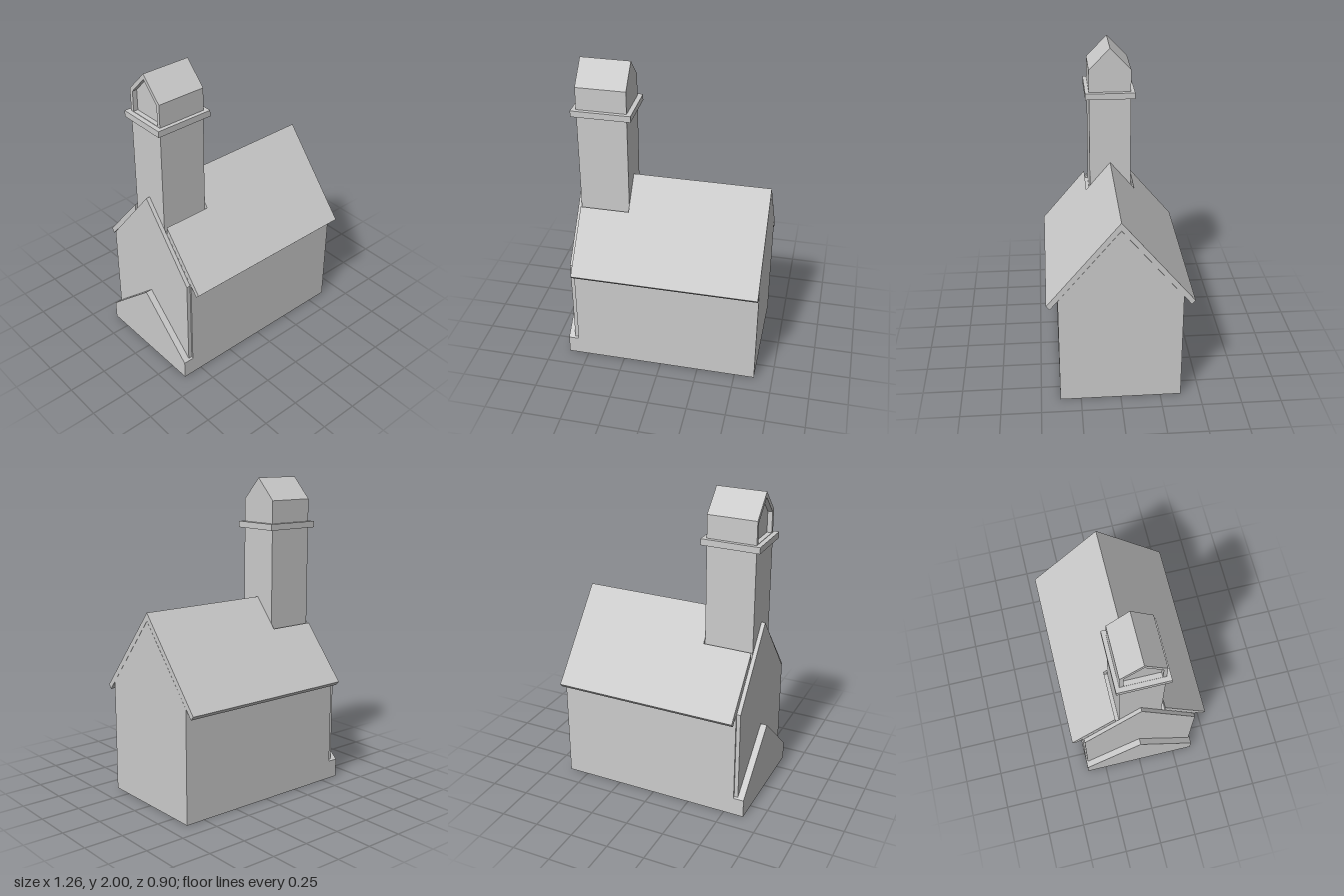
import * as THREE from 'three';

const material = new THREE.MeshStandardMaterial({ color: 0xcccccc, flatShading: true });

function add(parent, name, geometry) {
  const mesh = new THREE.Mesh(geometry, material);
  mesh.name = name;
  parent.add(mesh);
  return mesh;
}

// Gabled outline: half width, base, eaves and apex heights
function gable(half, base, eaves, apex) {
  return [[-half, base], [half, base], [half, eaves], [0, apex], [-half, eaves]];
}

const toPoints = (list) => list.map(([z, y]) => new THREE.Vector2(z, y));

// Extrudes a z-y outline along x from x0 to x1
function extrudeX(outline, x0, x1, hole) {
  const shape = new THREE.Shape(toPoints(outline));
  if (hole) shape.holes.push(new THREE.Path(toPoints(hole)));
  const geometry = new THREE.ExtrudeGeometry(shape, { depth: x1 - x0, bevelEnabled: false });
  return geometry.rotateY(Math.PI / 2).translate(x0, 0, 0);
}

export function createModel() {
  const model = new THREE.Group();
  model.name = 'chapel';
  const back = -0.565, end = 0.63, towerEnd = -0.25;

  // Main hall with two stepped gable slabs on its tower end
  add(model, 'hall', extrudeX(gable(0.38, 0, 0.722, 1.178), towerEnd, end));
  // Under the tower the hall's ridge is cut off to seat the shaft
  add(model, 'hallUnderTower', extrudeX(
    [[-0.38, 0], [0.38, 0], [0.38, 0.722], [0.16, 0.986], [-0.16, 0.986], [-0.38, 0.722]], back, towerEnd));
  add(model, 'gablePanel', extrudeX(gable(0.37, 0.1, 0.72, 1.18), -0.59, back));
  add(model, 'gableBase', extrudeX(gable(0.38, 0, 0.12, 0.465), -0.632, back));

  // Roof: eave slopes run the full length, the ridge stops at the tower
  const ridge = [[0.16, 1.038], [0, 1.23], [-0.16, 1.038], [-0.16, 0.988], [0, 1.18], [0.16, 0.988]];
  add(model, 'roofRidge', extrudeX(ridge, towerEnd, end));
  for (const side of [1, -1]) {
    const slope = [[0.16, 0.988], [0.428, 0.665], [0.45, 0.69], [0.16, 1.038]];
    const outline = slope.map(([z, y]) => [z * side, y]);
    add(model, side > 0 ? 'roofSlopeFront' : 'roofSlopeBack', extrudeX(outline, back, end));
  }

  // Tower with a collar and a gabled bell house
  const tower = new THREE.Group();
  tower.name = 'tower';
  model.add(tower);
  const shaft = [[-0.135, 0.98], [0.135, 0.98], [0.135, 1.7], [-0.135, 1.7]];
  add(tower, 'shaft', extrudeX(shaft, back, towerEnd));
  add(tower, 'collar', new THREE.BoxGeometry(0.375, 0.04, 0.32)).position.set(-0.4075, 1.695, 0);
  add(tower, 'bellHouse', extrudeX(gable(0.135, 1.7, 1.86, 2), back + 0.03, towerEnd));
  // Frame leaves a shallow recess on the outer face
  add(tower, 'bellHouseFrame', extrudeX(
    gable(0.135, 1.7, 1.86, 2), back, back + 0.03, gable(0.112, 1.718, 1.848, 1.965)));

  return model;
}
